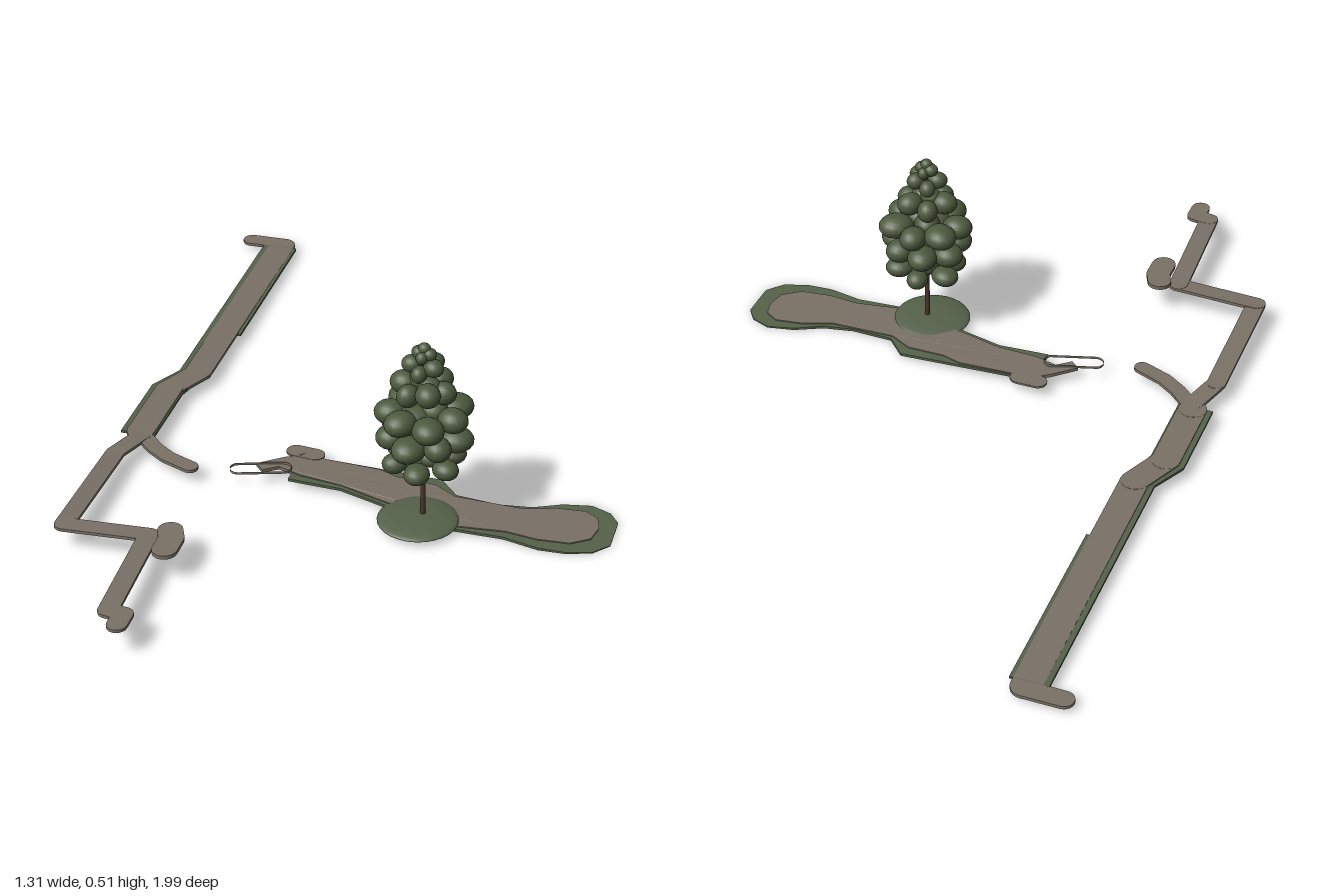
import * as THREE from 'three';

const mat = (name, color, side = THREE.FrontSide) => {
  const m = new THREE.MeshStandardMaterial({ color, side });
  m.name = name;
  return m;
};

export function createModel() {
  const gravel = mat('gravel', 0x7a7166);
  const gravelEdge = mat('gravel edge', 0x7a7166, THREE.DoubleSide);
  const grass = mat('grass', 0x55624a);
  const leaves = mat('leaves', 0x4d5a3e);
  const bark = mat('bark', 0x4a382c);
  const root = new THREE.Group();
  root.name = 'woodlandPaths';

  const add = (parent, name, geometry, material, x = 0, y = 0, z = 0) => {
    const mesh = new THREE.Mesh(geometry, material);
    mesh.name = name;
    mesh.position.set(x, y, z);
    parent.add(mesh);
    return mesh;
  };

  // Flat slab from an [x, z] outline; its top follows height(x, z)
  const slab = (parent, name, outline, thick, height, material) => {
    const shape = new THREE.Shape(outline.map(([x, z]) => new THREE.Vector2(x, -z)));
    const g = new THREE.ExtrudeGeometry(shape, { depth: thick, bevelEnabled: false });
    g.rotateX(-Math.PI / 2);
    const p = g.attributes.position;
    for (let i = 0; i < p.count; i++) {
      p.setY(i, Math.max(0, p.getY(i) - thick + height(p.getX(i), p.getZ(i))));
    }
    g.computeVertexNormals();
    return add(parent, name, g, material);
  };

  // Path through [x, topY, z] points: sloped slabs joined by round discs
  const path = (name, points, width, thick = 0.008) => {
    const group = new THREE.Group();
    group.name = name;
    root.add(group);
    points.forEach(([x, y, z], i) => {
      add(group, 'pathJoint', new THREE.CylinderGeometry(width / 2, width / 2, thick, 20), gravel, x, y - thick / 2, z);
      if (!i) return;
      const [px, py, pz] = points[i - 1];
      const dx = x - px, dz = z - pz, len = Math.hypot(dx, dz);
      const nx = -dz / len * width / 2, nz = dx / len * width / 2;
      const height = (a, b) => py + (y - py) * ((a - px) * dx + (b - pz) * dz) / (len * len);
      slab(group, 'pathStretch', [
        [px + nx, pz + nz], [x + nx, z + nz], [x - nx, z - nz], [px - nx, pz - nz],
      ], thick, height, gravel);
    });
  };

  // Long path with its side turns
  path('farTurn', [[-0.632, 0.021, -0.974], [-0.54, 0.021, -0.974]], 0.052);
  path('widePath', [[-0.54, 0.021, -0.965], [-0.54, 0.036, -0.2], [-0.585, 0.038, -0.1], [-0.585, 0.041, 0.12]], 0.072);
  path('narrowPath', [
    [-0.575, 0.041, 0.13], [-0.61, 0.046, 0.24], [-0.61, 0.062, 0.597],
    [-0.395, 0.07, 0.597], [-0.38, 0.077, 0.92], [-0.342, 0.077, 0.925], [-0.342, 0.077, 0.967],
  ], 0.049);
  path('sidePath', [[-0.57, 0.041, 0.14], [-0.525, 0.04, 0.185], [-0.48, 0.04, 0.217], [-0.412, 0.04, 0.245]], 0.042);
  path('smallLanding', [[-0.347, 0.08, 0.58], [-0.334, 0.08, 0.61], [-0.334, 0.08, 0.66]], 0.062, 0.01);

  // Grass verges beside the wide path
  const vergeHeight = (x, z) => 0.0365 + z * 0.016;
  slab(root, 'farVerge', [
    [-0.59, -0.95], [-0.495, -0.95], [-0.495, -0.43], [-0.505, -0.43], [-0.505, -0.19], [-0.59, -0.2],
  ], 0.007, vergeHeight, grass);
  slab(root, 'nearVerge', [
    [-0.59, -0.2], [-0.52, -0.19], [-0.545, -0.09], [-0.545, 0.13], [-0.635, 0.13], [-0.635, -0.11],
  ], 0.007, vergeHeight, grass);

  // Clearing with a grass border
  const bedHeight = (x) => 0.0255 - 0.04 * x + 0.014 * x * x;
  slab(root, 'clearingBorder', [
    [-0.16, 0.107], [0.2, 0.105], [0.25, 0.16], [0.36, 0.168], [0.44, 0.155], [0.51, 0.12], [0.58, 0.105],
    [0.63, 0.125], [0.655, 0.16], [0.655, 0.26], [0.62, 0.3], [0.56, 0.32], [0.49, 0.322], [0.4, 0.302],
    [0.28, 0.305], [0.15, 0.275], [0.05, 0.245], [-0.03, 0.222], [-0.165, 0.222],
  ], 0.007, (x) => bedHeight(x) - 0.003, grass);
  slab(root, 'clearing', [
    [-0.258, 0.185], [-0.2, 0.135], [-0.16, 0.11], [0.04, 0.112], [0.09, 0.13], [0.19, 0.135], [0.25, 0.17],
    [0.42, 0.172], [0.5, 0.145], [0.57, 0.137], [0.605, 0.16], [0.615, 0.2], [0.605, 0.25], [0.56, 0.283],
    [0.48, 0.29], [0.4, 0.28], [0.28, 0.295], [0.15, 0.262], [0.05, 0.235], [-0.03, 0.21], [-0.14, 0.2],
    [-0.2, 0.18], [-0.235, 0.208],
  ], 0.009, bedHeight, gravel);
  path('clearingTip', [[-0.18, 0.034, 0.097], [-0.13, 0.032, 0.1]], 0.05, 0.005);

  // Open edging that continues the side path towards the clearing
  const edge = new THREE.CylinderGeometry(0.022, 0.022, 0.007, 24, 1, true);
  const ep = edge.attributes.position;
  for (let i = 0; i < ep.count; i++) ep.setX(i, ep.getX(i) + (ep.getX(i) > 0 ? 0.055 : -0.055));
  add(root, 'openEdging', edge, gravelEdge, -0.24, 0.037, 0.205).rotation.y = 0.3;

  // Tree on a low grassy mound
  const tree = new THREE.Group();
  tree.name = 'tree';
  tree.position.set(0.195, 0, 0.28);
  root.add(tree);
  const mound = new THREE.SphereGeometry(0.1, 28, 8, 0, Math.PI * 2, 0, Math.PI / 2);
  add(tree, 'mound', mound, grass, -0.01, 0.015, 0.01).scale.y = 0.15;
  const base = new THREE.CircleGeometry(0.1, 28);
  base.rotateX(Math.PI / 2);
  add(tree, 'moundBase', base, grass, -0.01, 0.015, 0.01);
  add(tree, 'trunk', new THREE.CylinderGeometry(0.003, 0.007, 0.46, 10), bark, 0, 0.25, 0);

  // Tiers of leaf clumps: height, ring radius, clump radius, count, turn
  const clump = new THREE.SphereGeometry(1, 18, 12);
  const tiers = [
    [0.185, 0.072, 0.034, 6, 0.5], [0.19, 0.02, 0.034, 3, 0.2],
    [0.255, 0.078, 0.042, 7, 0.0], [0.26, 0.025, 0.04, 3, 0.7],
    [0.315, 0.08, 0.042, 7, 0.3], [0.32, 0.025, 0.04, 3, 0.1],
    [0.385, 0.05, 0.032, 6, 0.1], [0.395, 0.014, 0.03, 2, 0.4],
    [0.442, 0.029, 0.024, 5, 0.5], [0.475, 0.013, 0.018, 4, 0.2], [0.498, 0, 0.017, 1, 0],
  ];
  tiers.forEach(([y, ring, size, count, turn], t) => {
    for (let i = 0; i < count; i++) {
      const a = turn + i / count * Math.PI * 2;
      const k = 1 + 0.1 * Math.sin(i * 2.7 + t);
      const m = add(tree, 'leafClump', clump, leaves,
        Math.cos(a) * ring, y + 0.008 * Math.sin(i * 3.1 + t * 1.7), Math.sin(a) * ring);
      m.scale.set(size * k, size * (t < 6 ? 0.72 : 0.9), size * 0.9 * k);
      m.rotation.y = -a;
    }
  });
  return root;
}
